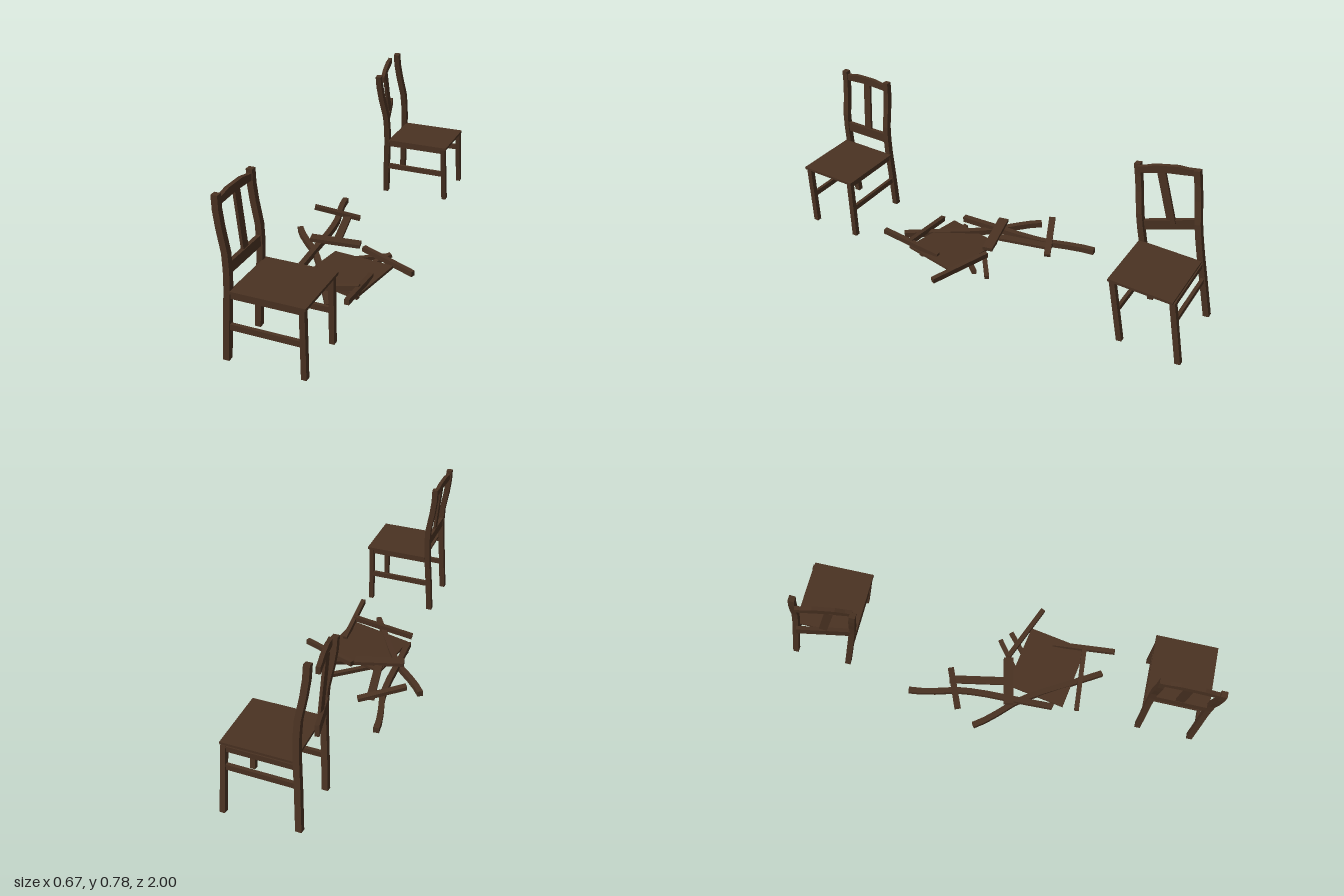
import * as THREE from 'three';

const wood = new THREE.MeshStandardMaterial({ color: 0x4a3222 });
wood.name = 'dark brown wood';
const V = (a) => new THREE.Vector3(...a);
const UP = [0, 1, 0];

// Mesh whose local x follows dir and whose local y leans toward hint
function orient(mesh, dir, hint) {
  const x = dir.clone().normalize();
  const z = new THREE.Vector3().crossVectors(x, hint).normalize();
  const y = new THREE.Vector3().crossVectors(z, x);
  mesh.quaternion.setFromRotationMatrix(new THREE.Matrix4().makeBasis(x, y, z));
  return mesh;
}

// Straight bar from a to b; h is measured along hint, t across it
function beam(parent, name, a, b, h, t, hint = UP) {
  const p = V(a), q = V(b), d = q.clone().sub(p);
  const m = new THREE.Mesh(new THREE.BoxGeometry(d.length(), h, t), wood);
  m.name = name;
  orient(m, d, V(hint)).position.copy(p.add(q).multiplyScalar(0.5));
  parent.add(m);
  return m;
}

// Bowed back post, foot at the origin, bulging toward +x
function postGeometry() {
  const mid = [[0, 0], [0.013, 0.18], [0.025, 0.32], [0.028, 0.4], [0.026, 0.47], [0.009, 0.57], [0.001, 0.64], [0, 0.7]];
  const w = 0.0135;
  const outline = [
    ...mid.map(([x, y]) => new THREE.Vector2(x + w, y)),
    ...mid.slice().reverse().map(([x, y]) => new THREE.Vector2(x - w, y)),
  ];
  const g = new THREE.ExtrudeGeometry(new THREE.Shape(outline), { depth: 0.027, bevelEnabled: false });
  return g.translate(0, 0, -0.0135);
}
const postGeo = postGeometry();

function post(parent, foot, top, bulge = [1, 0, 0]) {
  const m = new THREE.Mesh(postGeo, wood);
  m.name = 'backPost';
  const y = V(top).sub(V(foot));
  m.scale.y = y.length() / 0.7;
  y.normalize();
  const z = new THREE.Vector3().crossVectors(V(bulge), y).normalize();
  const x = new THREE.Vector3().crossVectors(y, z);
  m.quaternion.setFromRotationMatrix(new THREE.Matrix4().makeBasis(x, y, z));
  m.position.copy(V(foot));
  parent.add(m);
}

// Crest rail with a raised middle, running from a to b
function crest(parent, a, b) {
  const p = V(a), d = V(b).sub(p), L = d.length() / 2;
  const pts = [[-L, -0.018], [-L * 0.5, -0.015], [0, -0.011], [L * 0.5, -0.015], [L, -0.018],
    [L, 0.011], [L * 0.75, 0.013], [L * 0.4, 0.022], [-L * 0.4, 0.022], [-L * 0.75, 0.013], [-L, 0.011]];
  const s = new THREE.Shape(pts.map(([x, y]) => new THREE.Vector2(x, y)));
  const g = new THREE.ExtrudeGeometry(s, { depth: 0.018, bevelEnabled: false }).translate(0, 0, -0.009);
  const m = new THREE.Mesh(g, wood);
  m.name = 'crestRail';
  orient(m, d, V(UP)).position.copy(p.addScaledVector(d, 0.5));
  parent.add(m);
}

function seat(parent, x, y, z) {
  const m = new THREE.Mesh(new THREE.BoxGeometry(0.315, 0.012, 0.288), wood);
  m.name = 'seat';
  m.position.set(x, y, z);
  parent.add(m);
  return m;
}

function uprightChair() {
  const g = new THREE.Group();
  g.name = 'uprightChair';
  seat(g, 0.054, 0.371, 0.857);
  for (const z of [0.732, 0.984]) {
    post(g, [-0.138, 0.06, z], [-0.138, 0.76, z]);
    beam(g, 'frontLeg', [0.193, 0.06, z], [0.193, 0.366, z], 0.023, 0.025, [1, 0, 0]);
    beam(g, 'sideStretcher', [-0.12, 0.213, z], [0.19, 0.213, z], 0.026, 0.015);
    beam(g, 'seatApron', [-0.112, 0.353, z], [0.19, 0.353, z], 0.026, 0.015);
  }
  beam(g, 'backSlat', [-0.112, 0.463, 0.732], [-0.112, 0.463, 0.984], 0.047, 0.018);
  beam(g, 'backSplat', [-0.112, 0.475, 0.851], [-0.135, 0.73, 0.851], 0.037, 0.012, [0, 0, 1]);
  crest(g, [-0.137, 0.733, 0.732], [-0.137, 0.733, 0.984]);
  return g;
}

// Chair whose legs lean sideways and whose back has come loose
function leaningChair() {
  const g = new THREE.Group();
  g.name = 'leaningChair';
  seat(g, 0.054, 0.371, -0.791);
  const sides = [
    { foot: [0.055, -0.722], top: [0.738, -0.592], rail: 0.213 },
    { foot: [0.075, -0.986], top: [0.785, -0.85], rail: 0.273 },
  ];
  for (const { foot, top, rail } of sides) {
    const zAt = (y) => foot[1] + (y - foot[0]) * (top[1] - foot[1]) / (top[0] - foot[0]);
    post(g, [-0.138, ...foot], [-0.138, ...top]);
    beam(g, 'frontLeg', [0.193, 0.062, zAt(0.062)], [0.193, 0.366, zAt(0.366)], 0.023, 0.025, [1, 0, 0]);
    beam(g, 'sideStretcher', [-0.12, rail, zAt(rail)], [0.19, rail, zAt(rail)], 0.026, 0.015);
    beam(g, 'seatApron', [-0.112, 0.353, zAt(0.353)], [0.19, 0.353, zAt(0.353)], 0.026, 0.015);
  }
  beam(g, 'backSlat', [-0.12, 0.455, -0.655], [-0.178, 0.507, -0.88], 0.047, 0.018);
  beam(g, 'backSplat', [-0.145, 0.485, -0.77], [-0.145, 0.73, -0.695], 0.037, 0.012, [0, 0, 1]);
  crest(g, [-0.122, 0.722, -0.6], [-0.17, 0.755, -0.835]);
  return g;
}

function brokenPile() {
  const g = new THREE.Group();
  g.name = 'brokenChairPile';
  const s = seat(g, 0.042, 0.085, 0.245);
  s.rotation.set(0, -0.17, 0.05);

  // Two bowed posts lying flat
  post(g, [-0.155, 0.105, 0.31], [-0.233, 0.122, -0.38], [1, 0, 0]);
  post(g, [0.075, 0.072, 0.515], [-0.328, 0.098, -0.04], [0.8, 0, -0.6]);

  // Pieces of the back
  beam(g, 'backSlat', [-0.285, 0.188, -0.122], [-0.082, 0.125, -0.208], 0.018, 0.03);
  beam(g, 'backSplat', [-0.14, 0.135, -0.2], [-0.085, 0.125, 0.07], 0.014, 0.037);
  beam(g, 'loosePanel', [-0.2, 0.145, 0.105], [0.03, 0.13, 0.055], 0.018, 0.048);

  // Loose legs and stretchers: start, end
  const sticks = [
    ['looseLeg', [0.045, 0.112, 0.05], [0.328, 0.1, 0.165]],
    ['looseLeg', [0.162, 0.1, 0.25], [0.175, 0.14, 0.553]],
    ['looseLeg', [-0.138, 0.07, 0.43], [0.172, 0.128, 0.405]],
    ['looseStretcher', [0.138, 0.06, -0.01], [-0.095, 0.07, 0.165]],
    ['looseStretcher', [-0.025, 0.014, 0.23], [0.175, 0.098, 0.035]],
    ['looseStretcher', [-0.155, 0.06, 0.3], [0.148, 0.05, 0.365]],
  ];
  for (const [name, a, b] of sticks) beam(g, name, a, b, name === 'looseLeg' ? 0.025 : 0.018, 0.022);
  return g;
}

export function createModel() {
  const model = new THREE.Group();
  model.name = 'threeChairs';
  model.add(uprightChair(), brokenPile(), leaningChair());
  return model;
}
